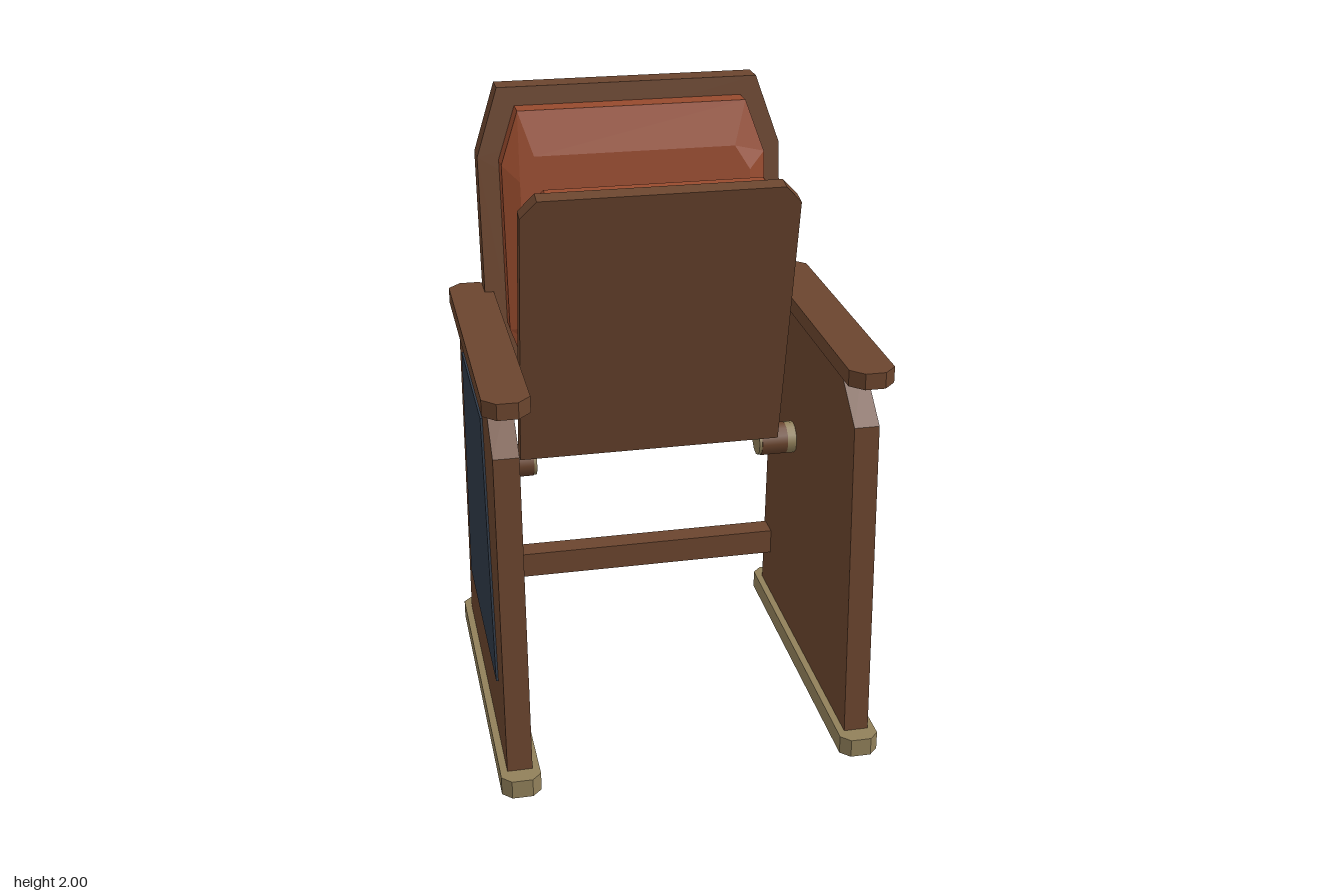
import * as THREE from 'three';

const mat = (name, color) => {
  const m = new THREE.MeshStandardMaterial({ color });
  m.name = name;
  return m;
};

export function createModel() {
  const wood = mat('brown wood', 0x6b452e);
  const leather = mat('rust upholstery', 0x964a2d);
  const metal = mat('khaki metal', 0x91805a);
  const inlay = mat('slate blue', 0x2f3a48);

  const model = new THREE.Group();
  model.name = 'foldingSeat';
  const add = (parent, name, geo, material) => {
    const m = new THREE.Mesh(geo, material);
    m.name = name;
    parent.add(m);
    return m;
  };
  const extrude = (pts, depth) => new THREE.ExtrudeGeometry(
    new THREE.Shape(pts.map(p => new THREE.Vector2(...p))), { depth, bevelEnabled: false });

  // Rectangle with cut corners, counter-clockwise
  const octagon = (hw, y0, y1, cx, cyTop, cyBottom = cyTop) => [
    [-hw + cx, y0], [hw - cx, y0], [hw, y0 + cyBottom], [hw, y1 - cyTop],
    [hw - cx, y1], [-hw + cx, y1], [-hw, y1 - cyTop], [-hw, y0 + cyBottom]];

  // Plate from a (z, y) profile, running from x to x + width
  const sidePlate = (pts, x, width) =>
    extrude(pts.map(([z, y]) => [-z, y]), width).rotateY(Math.PI / 2).translate(x, 0, 0);

  // Flat bar with cut corners lying along z
  const flatBar = (hw, hl, cut, height) =>
    extrude(octagon(hw, -hl, hl, cut, cut), height).rotateX(-Math.PI / 2);

  // Cushion lofted through outline loops [outline, z], closed at both ends
  const cushion = loops => {
    const pos = [];
    const v = (k, i) => [...loops[k][0][i % 8], loops[k][1]];
    const tri = (a, b, c) => pos.push(...a, ...b, ...c);
    for (let k = 0; k < loops.length - 1; k++) {
      for (let i = 0; i < 8; i++) {
        tri(v(k, i), v(k, i + 1), v(k + 1, i + 1));
        tri(v(k, i), v(k + 1, i + 1), v(k + 1, i));
      }
    }
    const last = loops.length - 1;
    for (let i = 1; i < 7; i++) {
      tri(v(last, 0), v(last, i), v(last, i + 1));
      tri(v(0, 0), v(0, i + 1), v(0, i));
    }
    const g = new THREE.BufferGeometry();
    g.setAttribute('position', new THREE.Float32BufferAttribute(pos, 3));
    g.computeVertexNormals();
    return g;
  };

  // Lean a geometry backwards, keeping its horizontal edges level
  const lean = geo => {
    const p = geo.attributes.position;
    for (let i = 0; i < p.count; i++) p.setZ(i, p.getZ(i) - 0.39 - 0.15 * (p.getY(i) - 1.34));
    geo.computeVertexNormals();
    return geo;
  };

  // Side frames
  for (const s of [1, -1]) {
    const side = new THREE.Group();
    side.name = s > 0 ? 'leftSide' : 'rightSide';
    model.add(side);
    add(side, 'sidePanel', sidePlate(
      [[0.53, 0.06], [-0.525, 0.06], [-0.46, 1.285], [0.29, 1.285], [0.48, 1.13]],
      s * 0.555 - 0.04, 0.08), wood);
    add(side, 'sideInlay', sidePlate(
      [[0.365, 0.295], [-0.38, 0.295], [-0.335, 1.15], [0.22, 1.15]],
      s * 0.598 - 0.004, 0.008), inlay);
    add(side, 'foot', flatBar(0.063, 0.59, 0.03, 0.062), metal).position.set(s * 0.555, 0, 0);
    add(side, 'armrest', flatBar(0.072, 0.52, 0.04, 0.052), wood).position.set(s * 0.552, 1.284, 0.025);

    // Hinge: wooden barrel between metal collars
    const hinge = (name, x, width, r, m) => add(side, name,
      new THREE.CylinderGeometry(r, r, width, 12).rotateZ(Math.PI / 2), m).position.set(s * x, 0.802, -0.185);
    hinge('hingeBarrel', 0.44, 0.09, 0.055, wood);
    hinge('hingeCollar', 0.5, 0.03, 0.055, metal);
    hinge('hingeCap', 0.39, 0.01, 0.053, metal);
  }

  // Rear crossbar
  add(model, 'crossbar', new THREE.BoxGeometry(1.04, 0.09, 0.08), wood).position.set(0, 0.265, -0.46);

  // Backrest
  add(model, 'backBoard', lean(extrude([
    [-0.39, 0.94], [0.39, 0.94], [0.51, 1.16], [0.51, 1.78],
    [0.435, 2], [-0.435, 2], [-0.51, 1.78], [-0.51, 1.16]], 0.085).translate(0, 0, -0.085)), wood);
  const backOutline = octagon(0.44, 1.06, 1.94, 0.06, 0.17);
  add(model, 'backCushion', lean(cushion([
    [backOutline, 0], [backOutline, 0.072],
    [octagon(0.385, 1.16, 1.8, 0.05, 0.08), 0.1]])), leather);

  // Folded-up seat
  const seat = new THREE.Group();
  seat.name = 'seat';
  seat.position.set(0, 0.835, -0.117);
  seat.rotation.x = 0.21;
  model.add(seat);
  add(seat, 'seatBoard', extrude([
    [-0.443, 0], [0.443, 0], [0.443, 0.915], [0.39, 0.972],
    [-0.39, 0.972], [-0.443, 0.915]], 0.052).translate(0, 0, -0.052), wood);
  const seatOutline = octagon(0.42, 0.02, 0.938, 0.07, 0.075);
  const padGeo = cushion([
    [octagon(0.37, 0.07, 0.885, 0.055, 0.06), -0.15],
    [seatOutline, -0.133], [seatOutline, -0.052]]);
  add(seat, 'seatCushion', padGeo, leather);

  return model;
}
